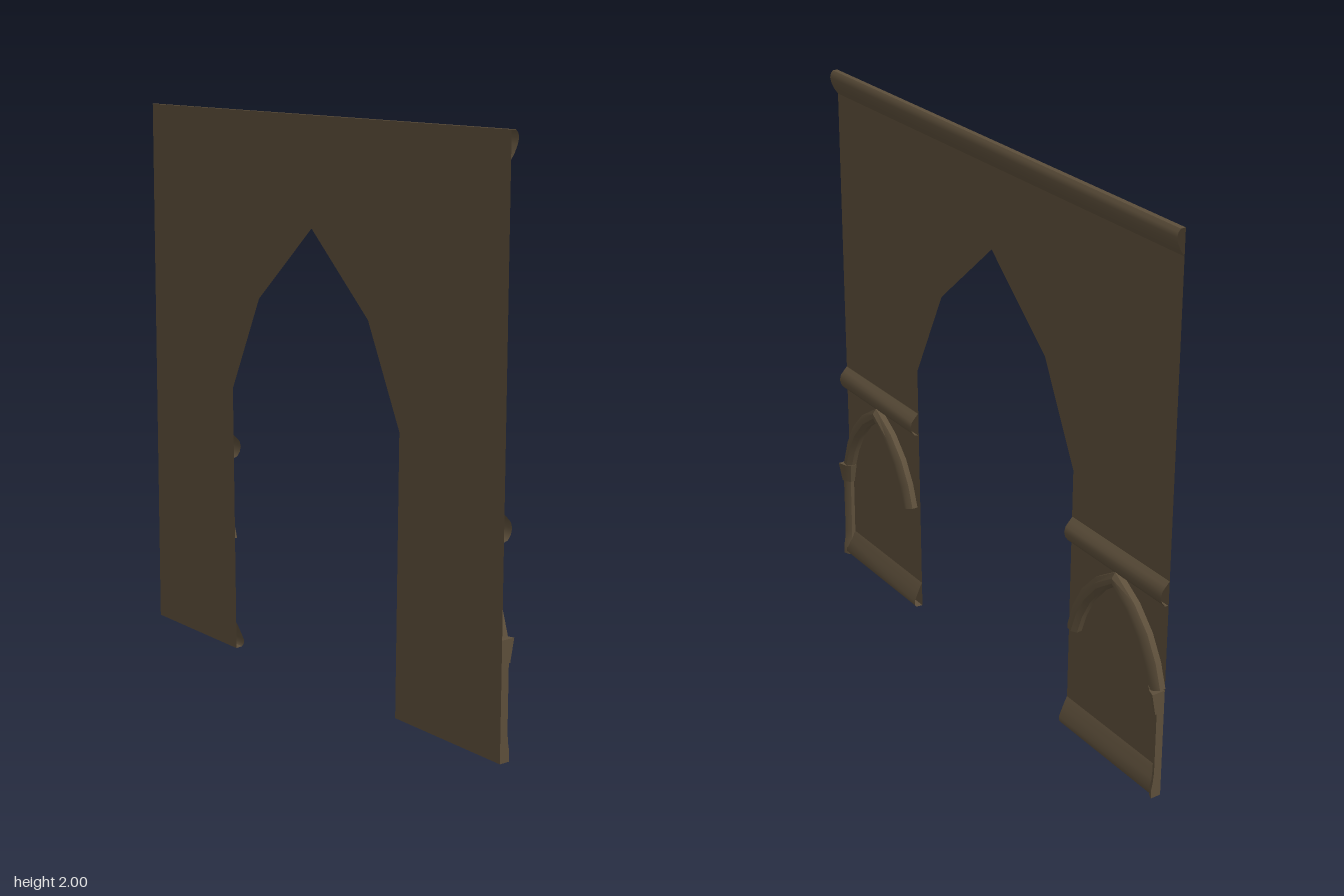
import * as THREE from 'three';
import { toCreasedNormals } from 'three/addons/utils/BufferGeometryUtils.js';

const WALL_X = -0.026;

// Skin a list of equal-length rings of [x, y, z]; side = -1 mirrors it in z.
function loft(rings, side = 1) {
  const n = rings[0].length, pos = [], idx = [];
  rings.forEach(r => r.forEach(([x, y, z]) => pos.push(WALL_X + x, y, z * side)));
  for (let i = 0; i < rings.length - 1; i++) {
    for (let j = 0; j < n - 1; j++) {
      const a = i * n + j, b = a + 1, c = b + n, d = a + n;
      if (side > 0) idx.push(a, b, c, a, c, d);
      else idx.push(a, c, b, a, d, c);
    }
  }
  const g = new THREE.BufferGeometry();
  g.setAttribute('position', new THREE.Float32BufferAttribute(pos, 3));
  g.setIndex(idx);
  return toCreasedNormals(g, 0.7);
}

// Straight moulding: [depth, y] profile, bottom to top, run along z
const moulding = (profile, z0, z1, side) =>
  loft([z0, z1].map(z => profile.map(([d, y]) => [d, y, z])), side);

export function createModel() {
  const model = new THREE.Group();
  const stone = new THREE.MeshStandardMaterial({ color: 0x5c4e3a, side: THREE.DoubleSide });
  stone.name = 'brown stone';
  const add = (name, geometry) => {
    const mesh = new THREE.Mesh(geometry, stone);
    mesh.name = name;
    model.add(mesh);
  };

  // Thin wall sheet with the pointed doorway cut out
  const outline = [[-1, 0], [-0.472, 0], [-0.482, 0.99], [-0.313, 1.34], [0, 1.617],
    [0.313, 1.34], [0.482, 0.99], [0.472, 0], [1, 0], [1, 2], [-1, 2]];
  const wall = new THREE.ShapeGeometry(new THREE.Shape(outline.map(p => new THREE.Vector2(...p))));
  wall.rotateY(Math.PI / 2).translate(WALL_X, 0, 0);
  add('wall', wall);

  // Cornice along the top
  add('cornice', moulding([[0, 1.91], [0.014, 1.93], [0.026, 1.955], [0.031, 1.975],
    [0.027, 1.99], [0.018, 2], [0, 2]], -1, 1));

  // Pointed arch relief: inner and outer edge points of one half, as [z, y]
  const half = [[[0.548, 0.405], [0.497, 0.418]], [[0.575, 0.48], [0.525, 0.505]],
    [[0.617, 0.557], [0.573, 0.592]], [[0.678, 0.63], [0.645, 0.67]], [[0.75, 0.684], [0.75, 0.738]]];
  const flip = ([z, y]) => [1.5 - z, y];
  const path = [...half, ...half.slice(0, -1).reverse().map(pair => pair.map(flip))];
  // Bar section: [fraction from inner to outer edge, depth]
  const section = [[0, 0], [0, 0.02], [0.3, 0.036], [0.65, 0.036], [1, 0.022], [1, 0]];
  const archRings = path.map(([a, b]) => section.map(([t, d]) =>
    [d, a[1] + (b[1] - a[1]) * t, a[0] + (b[0] - a[0]) * t]));
  const capRing = ([a, b]) => section.map(() => [0, (a[1] + b[1]) / 2, (a[0] + b[0]) / 2]);
  archRings.unshift(capRing(path[0]));
  archRings.push(capRing(path[path.length - 1]));

  // Slim corner column: [y, depth, width] from base to capital
  const levels = [[0, 0.039, 0.032], [0.035, 0.039, 0.032], [0.06, 0.034, 0.026], [0.1, 0.03, 0.026],
    [0.33, 0.03, 0.028], [0.33, 0.036, 0.034], [0.41, 0.051, 0.052], [0.41, 0, 0]];
  const columnRings = levels.map(([y, d, w]) =>
    [[0, y, 1], [d, y, 1], [d * 0.8, y, 1 - w * 0.6], [d * 0.5, y, 1 - w], [0, y, 1 - w]]);

  for (const side of [1, -1]) {
    const hand = side > 0 ? 'left' : 'right';
    // Ledge above and skirting below each relief panel
    add(hand + 'Ledge', moulding([[0, 0.727], [0.016, 0.732], [0.028, 0.748], [0.033, 0.768],
      [0.028, 0.788], [0.014, 0.803], [0, 0.817]], 0.482, 1, side));
    add(hand + 'Skirting', moulding([[0, 0], [0.026, 0.002], [0.034, 0.012], [0.034, 0.028],
      [0.02, 0.06], [0.006, 0.09], [0, 0.1]], 0.473, 1, side));
    add(hand + 'ReliefArch', loft(archRings, side));
    add(hand + 'Column', loft(columnRings, -side).scale(1, 1, -1).toNonIndexed ? loft(columnRings, side) : null);
  }
  return model;
}
